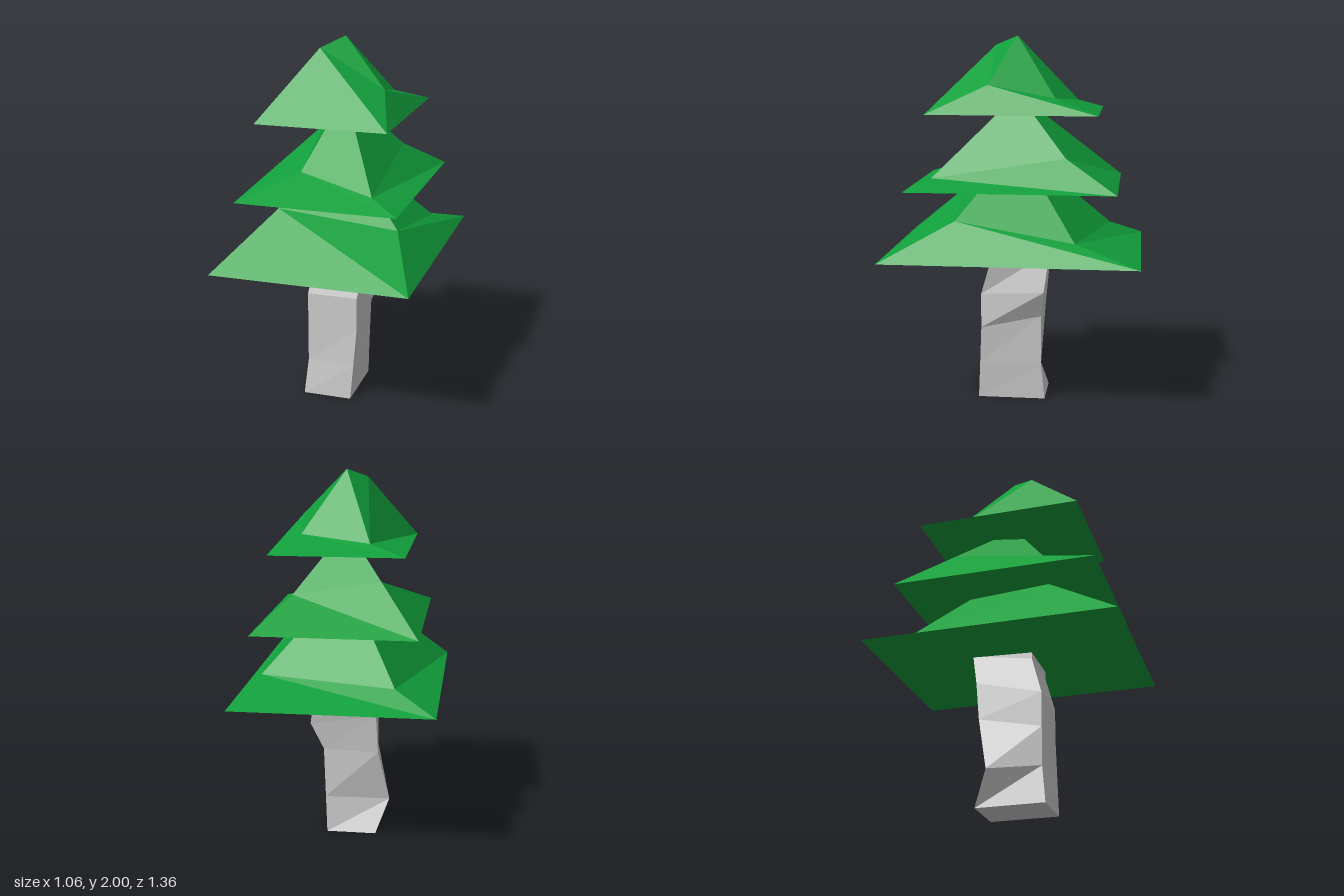
import * as THREE from 'three';

const GREEN = 0x119f3b, GREY = 0xcccccc;

// Skins four-cornered rings, listed bottom to top. Corner order in a ring:
// front +x, back +x, back -x, front -x. Ends in a point if an apex is given.
function loft(name, color, rings, apex, risingDiagonal) {
  const pos = [];
  const tri = (a, b, c) => pos.push(...a, ...b, ...c);
  const bottom = rings[0], top = rings[rings.length - 1];
  for (let i = 0; i < 4; i++) {
    const j = (i + 1) % 4;
    for (let r = 0; r + 1 < rings.length; r++) {
      const lo = rings[r], hi = rings[r + 1];
      if (risingDiagonal) {
        tri(lo[i], lo[j], hi[j]);
        tri(lo[i], hi[j], hi[i]);
      } else {
        tri(lo[i], lo[j], hi[i]);
        tri(lo[j], hi[j], hi[i]);
      }
    }
    if (apex) tri(top[i], top[j], apex);
  }
  // end caps
  tri(bottom[0], bottom[2], bottom[1]);
  tri(bottom[0], bottom[3], bottom[2]);
  if (!apex) {
    tri(top[0], top[1], top[2]);
    tri(top[0], top[2], top[3]);
  }
  const geo = new THREE.BufferGeometry();
  geo.setAttribute('position', new THREE.Float32BufferAttribute(pos, 3));
  geo.computeVertexNormals();
  const mesh = new THREE.Mesh(geo, new THREE.MeshStandardMaterial({ color, flatShading: true }));
  mesh.name = name;
  return mesh;
}

// A pyramid of foliage whose four ridges each bend at one point
function foliage(name, y, hx, hz, peak, bends) {
  const base = [[hx, y, hz], [hx, y, -hz], [-hx, y, -hz], [-hx, y, hz]];
  return loft(name, GREEN, [base, bends], [0, peak, 0], false);
}

export function createModel() {
  const tree = new THREE.Group();
  tree.name = 'tree';

  // crooked square trunk
  tree.add(loft('trunk', GREY, [
    [[0.09, 0, 0.21], [0.09, 0, -0.16], [-0.18, 0, -0.16], [-0.18, 0, 0.21]],
    [[0.105, 0.2, 0.2], [0.1, 0.2, -0.14], [-0.25, 0.18, -0.08], [-0.16, 0.2, 0.19]],
    [[0.12, 0.41, 0.19], [0.11, 0.48, -0.14], [-0.19, 0.47, -0.14], [-0.16, 0.41, 0.19]],
    [[0.12, 0.6, 0.19], [0.18, 0.63, -0.16], [-0.18, 0.68, -0.16], [-0.16, 0.6, 0.19]],
    [[0.155, 0.8, 0.13], [0.15, 0.85, -0.19], [-0.15, 0.85, -0.19], [-0.125, 0.81, 0.13]],
    [[0.155, 0.87, 0.13], [0.15, 0.87, -0.19], [-0.15, 0.87, -0.19], [-0.125, 0.87, 0.13]],
  ], null, true));

  // three tiers of foliage
  tree.add(foliage('lowerFoliage', 0.845, 0.53, 0.68, 1.41,
    [[0.37, 1.05, 0.29], [0.41, 0.95, -0.34], [-0.31, 0.94, -0.5], [-0.265, 1.128, 0.34]]));
  tree.add(foliage('middleFoliage', 1.205, 0.43, 0.555, 1.69,
    [[0.27, 1.26, 0.43], [0.25, 1.37, -0.28], [-0.215, 1.448, -0.278], [-0.16, 1.32, 0.28]]));
  tree.add(foliage('upperFoliage', 1.6, 0.35, 0.45, 2,
    [[0.25, 1.75, 0.13], [0.21, 1.68, -0.22], [-0.16, 1.65, -0.32], [-0.1, 1.95, 0.13]]));

  return tree;
}
